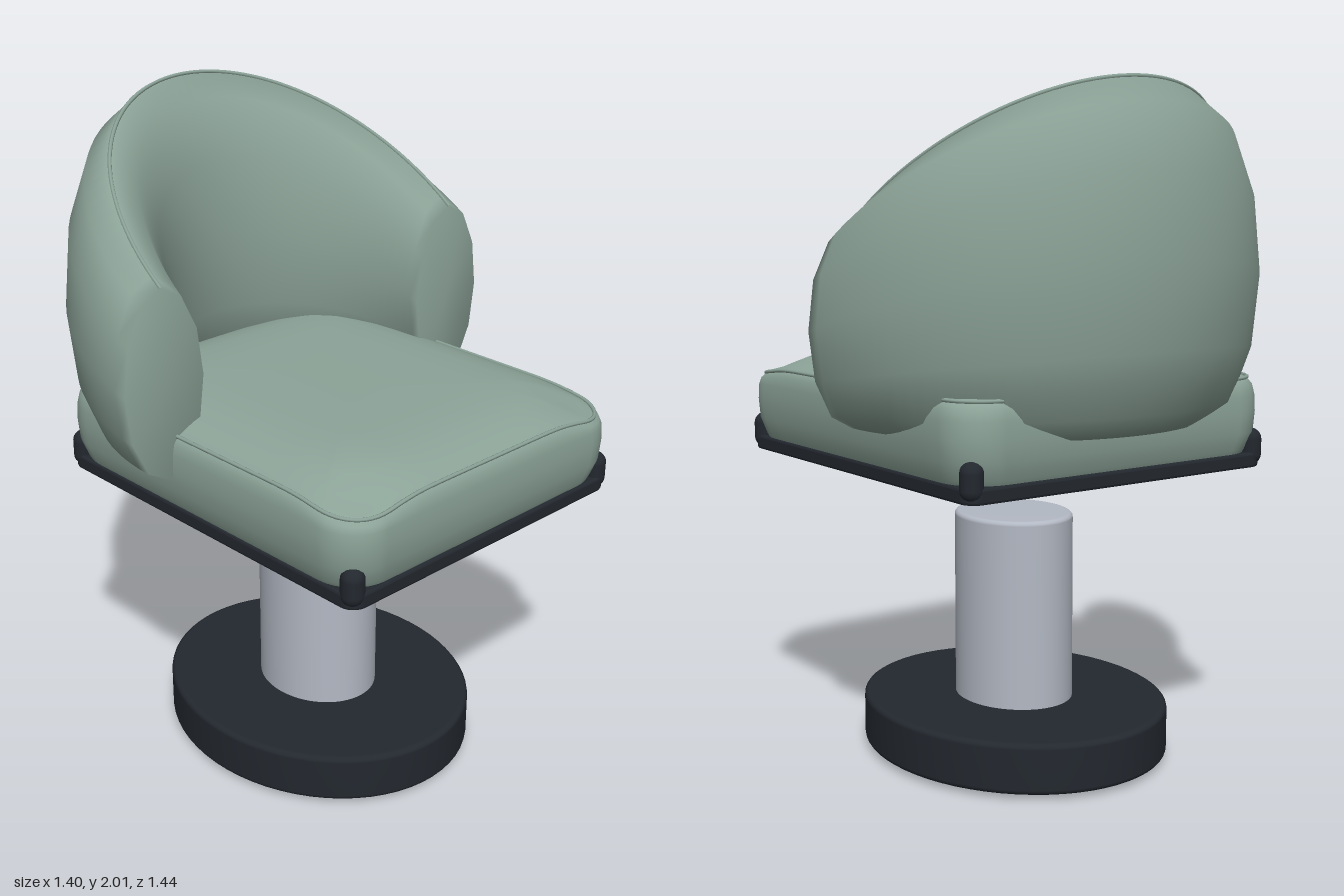
import * as THREE from 'three';

const mat = (color, extra = {}) => new THREE.MeshStandardMaterial({ color, ...extra });
const GREEN = mat(0x8ca398);
const BLACK = mat(0x23282f);
const STEEL = mat(0xb3b9c4);
const SEAT_Z = 0.095;

function part(parent, name, geometry, material) {
  const mesh = new THREE.Mesh(geometry, material);
  mesh.name = name;
  parent.add(mesh);
  return mesh;
}

// Skin closed rings of points, with a fan cap at each end.
function loft(rings, startCentre, endCentre) {
  const n = rings[0].length;
  const points = [...rings.flat(), startCentre, endCentre];
  const index = [];
  const last = (rings.length - 1) * n;
  const start = rings.length * n;
  for (let j = 0; j < n; j++) {
    const k = (j + 1) % n;
    for (let i = 0; i < rings.length - 1; i++) {
      const a = i * n + j, b = i * n + k;
      index.push(a, b, a + n, b, b + n, a + n);
    }
    index.push(start, k, j, start + 1, last + j, last + k);
  }
  const g = new THREE.BufferGeometry().setFromPoints(points);
  g.setIndex(index);
  g.computeVertexNormals();
  return g;
}

// Soft dent in the cushion at the two front corners.
function dent(x, y, z) {
  const d = (Math.abs(x) - 0.45) ** 2 + (z - 0.64) ** 2;
  return y - 0.03 * Math.exp(-d / 0.012) * THREE.MathUtils.smoothstep(y, 1.08, 1.16);
}

// Rounded-rectangle ring of the seat, running anticlockwise from above.
function seatRing(inset, y) {
  const hx = 0.55 - inset, hz = 0.625 - inset;
  const r = Math.min(Math.max(0.13 - inset * 0.3, 0.04), hx * 0.9);
  const signs = [[1, 1], [-1, 1], [-1, -1], [1, -1]];
  const corner = (k, t) => {
    const a = (k + t) * Math.PI / 2;
    const [sx, sz] = signs[k % 4];
    return new THREE.Vector3(sx * (hx - r) + r * Math.cos(a), y, SEAT_Z - sz * (hz - r) - r * Math.sin(a));
  };
  const ring = [];
  for (let k = 0; k < 4; k++) {
    for (let i = 0; i <= 8; i++) ring.push(corner(k, i / 8));
    const from = corner(k, 1), to = corner((k + 1) % 4, 0);
    for (let i = 1; i < 14; i++) ring.push(from.clone().lerp(to, i / 14));
  }
  ring.forEach((p) => { p.y = dent(p.x, p.y, p.z); });
  return ring;
}

function roundedRect(target, hx, hz, r) {
  [[1, 1], [-1, 1], [-1, -1], [1, -1]].forEach(([sx, sy], k) =>
    target.absarc(sx * (hx - r), sy * (hz - r), r, k * Math.PI / 2, (k + 1) * Math.PI / 2));
  target.closePath();
  return target;
}

// Upright drum with softened edges.
function drum(radius, y0, y1, b) {
  const profile = [new THREE.Vector2(0, y0)];
  for (let i = 0; i <= 4; i++) {
    const a = i / 4 * Math.PI / 2;
    profile.push(new THREE.Vector2(radius - b + b * Math.sin(a), y0 + b - b * Math.cos(a)));
  }
  for (let i = 0; i <= 4; i++) {
    const a = i / 4 * Math.PI / 2;
    profile.push(new THREE.Vector2(radius - b + b * Math.cos(a), y1 - b + b * Math.sin(a)));
  }
  profile.push(new THREE.Vector2(0, y1));
  return new THREE.LatheGeometry(profile, 64);
}

function createSeat() {
  const seat = new THREE.Group();
  seat.name = 'seat';

  // Cushion: [inset, height] from the underside up over the crown
  const levels = [
    [0.12, 0.89], [0.05, 0.9], [0.033, 0.92], [0.02, 0.95], [0.004, 1.0], [0, 1.06],
    [0.002, 1.11], [0.008, 1.14], [0.02, 1.158], [0.045, 1.172], [0.08, 1.188],
    [0.13, 1.204], [0.19, 1.215], [0.28, 1.22], [0.4, 1.222], [0.5, 1.222],
  ];
  part(seat, 'cushion', loft(
    levels.map(([inset, y]) => seatRing(inset, y)),
    new THREE.Vector3(0, 0.887, SEAT_Z),
    new THREE.Vector3(0, 1.222, SEAT_Z),
  ), GREEN);

  // Piping around the cushion top
  const seam = new THREE.CatmullRomCurve3(seatRing(0.02, 1.161), true);
  part(seat, 'cushionPiping', new THREE.TubeGeometry(seam, 240, 0.006, 6, true), GREEN);

  // Frame under the cushion
  const outline = roundedRect(new THREE.Shape(), 0.524, 0.604, 0.04);
  outline.holes.push(roundedRect(new THREE.Path(), 0.44, 0.52, 0.03));
  const frame = new THREE.ExtrudeGeometry(outline, {
    depth: 0.03, bevelThickness: 0.007, bevelSize: 0.007, bevelSegments: 2, curveSegments: 6,
  });
  frame.rotateX(-Math.PI / 2).translate(0, 0.901, SEAT_Z);
  part(seat, 'frame', frame, BLACK);

  // Corner guards
  for (const sx of [-1, 1]) {
    for (const sz of [-1, 1]) {
      const guard = part(seat, 'cornerGuard', new THREE.CapsuleGeometry(0.033, 0.045, 6, 16), BLACK);
      guard.position.set(sx * 0.502, 0.953, SEAT_Z + sz * 0.58);
    }
  }
  return seat;
}

function createBackrest() {
  const back = new THREE.Group();
  back.name = 'backrest';

  // Padded half ring: an oval section that grows taller towards the back
  const BOTTOM = 1.04, STEPS = 48, SIDES = 12;
  const rings = [], centres = [];
  for (let i = 0; i <= STEPS; i++) {
    const phi = i / STEPS * Math.PI, s = Math.sin(phi);
    const radius = 0.565 + 0.015 * s, width = 0.135 + 0.018 * s;
    const half = (1.6 + 0.4 * s - BOTTOM) / 2;
    const at = (r, y) => new THREE.Vector3(r * Math.cos(phi), y, 0.012 - r * s);
    centres.push(at(radius, BOTTOM + half));
    rings.push(Array.from({ length: SIDES }, (_, j) => {
      const t = j / SIDES * Math.PI * 2;
      return at(radius + width * Math.sin(t), BOTTOM + half + half * Math.cos(t));
    }));
  }
  part(back, 'backShell', loft(rings, centres[0], centres[STEPS]), GREEN);

  // Piping along the top rim
  const rim = new THREE.CatmullRomCurve3(rings.map((ring) => ring[0]));
  part(back, 'rimPiping', new THREE.TubeGeometry(rim, 120, 0.006, 6), GREEN);
  return back;
}

function createPedestal() {
  const pedestal = new THREE.Group();
  pedestal.name = 'pedestal';
  // Slightly oval base plate and column
  part(pedestal, 'basePlate', drum(0.44, 0.014, 0.165, 0.016), BLACK).scale.z = 1.17;
  part(pedestal, 'column', drum(0.17, 0, 0.738, 0.014), STEEL).scale.z = 1.17;
  pedestal.position.z = 0.019;
  return pedestal;
}

export function createModel() {
  const chair = new THREE.Group();
  chair.name = 'swivelChair';
  chair.add(createSeat(), createBackrest(), createPedestal());
  return chair;
}
